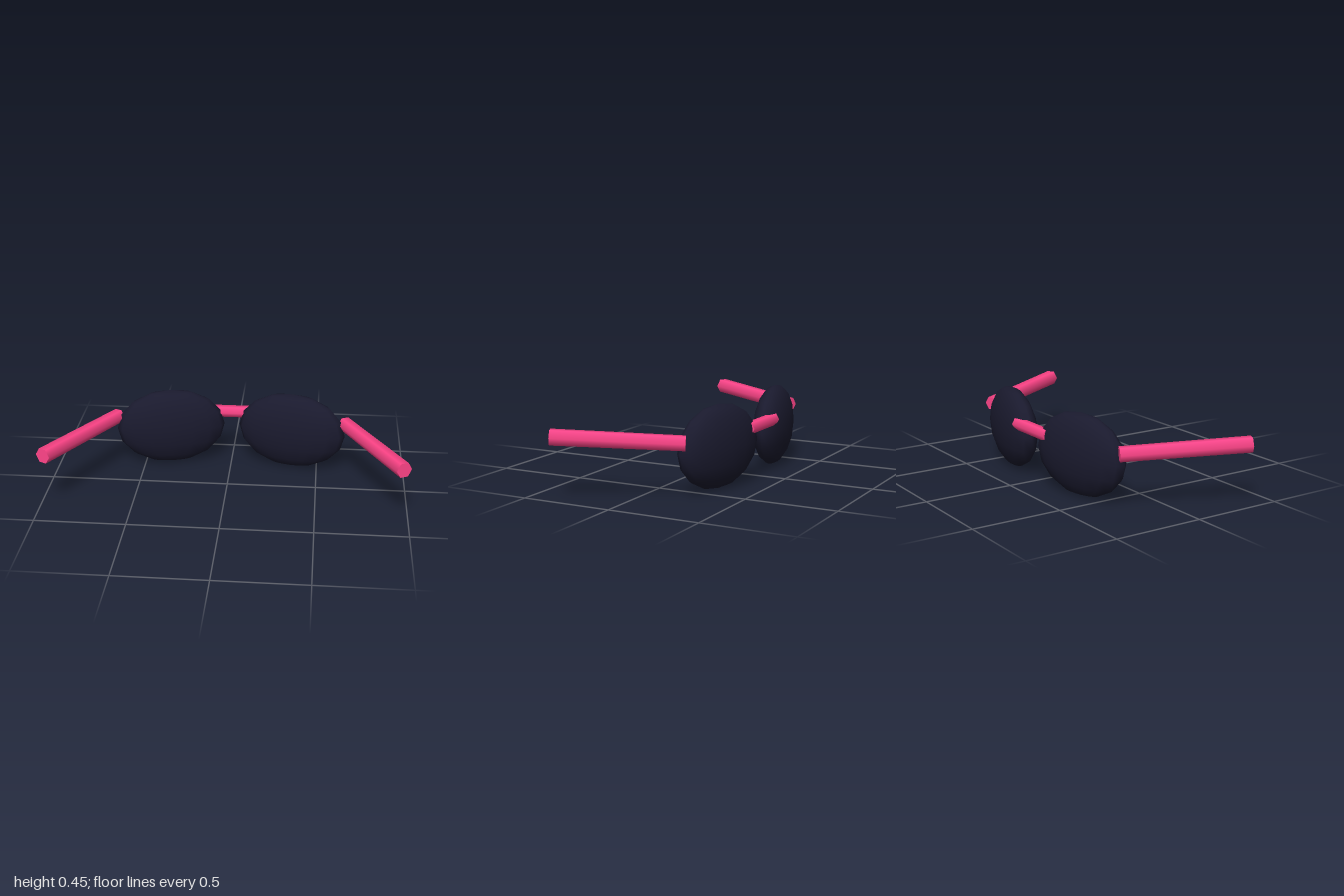
import * as THREE from 'three';

const pink = new THREE.MeshStandardMaterial({ color: 0xff4488 });
const dark = new THREE.MeshStandardMaterial({ color: 0x1a1a2e });

// Six-sided rod between two points, with two corners level with its axis
function rod(name, from, to, rFrom, rTo) {
  const a = new THREE.Vector3(...from), b = new THREE.Vector3(...to);
  const dir = b.clone().sub(a);
  const mesh = new THREE.Mesh(new THREE.CylinderGeometry(rTo, rFrom, dir.length(), 6), pink);
  dir.normalize();
  const side = new THREE.Vector3(0, 1, 0).cross(dir).normalize();
  const up = dir.clone().cross(side);
  mesh.quaternion.setFromRotationMatrix(new THREE.Matrix4().makeBasis(up, dir, side));
  mesh.position.copy(a).add(b).multiplyScalar(0.5);
  mesh.name = name;
  return mesh;
}

export function createModel() {
  const group = new THREE.Group();
  group.name = 'sunglasses';

  for (const s of [1, -1]) {
    const label = s > 0 ? 'left' : 'right';

    // Flattened oval lens, angled around the face
    const lens = new THREE.Mesh(new THREE.SphereGeometry(1, 16, 8), dark);
    lens.name = label + 'Lens';
    lens.scale.set(0.312, 0.225, 0.098);
    lens.position.set(s * 0.35, 0.225, -0.271);
    lens.rotation.y = -s * 0.2;
    group.add(lens);

    // Temple arm, splayed outward and slightly raised
    group.add(rod(label + 'Arm', [s * 0.653, 0.291, -0.242], [s * 0.959, 0.321, 0.366], 0.042, 0.045));
  }

  // Bridge between the lenses
  group.add(rod('bridge', [-0.16, 0.293, -0.354], [0.16, 0.293, -0.354], 0.035, 0.035));

  return group;
}
